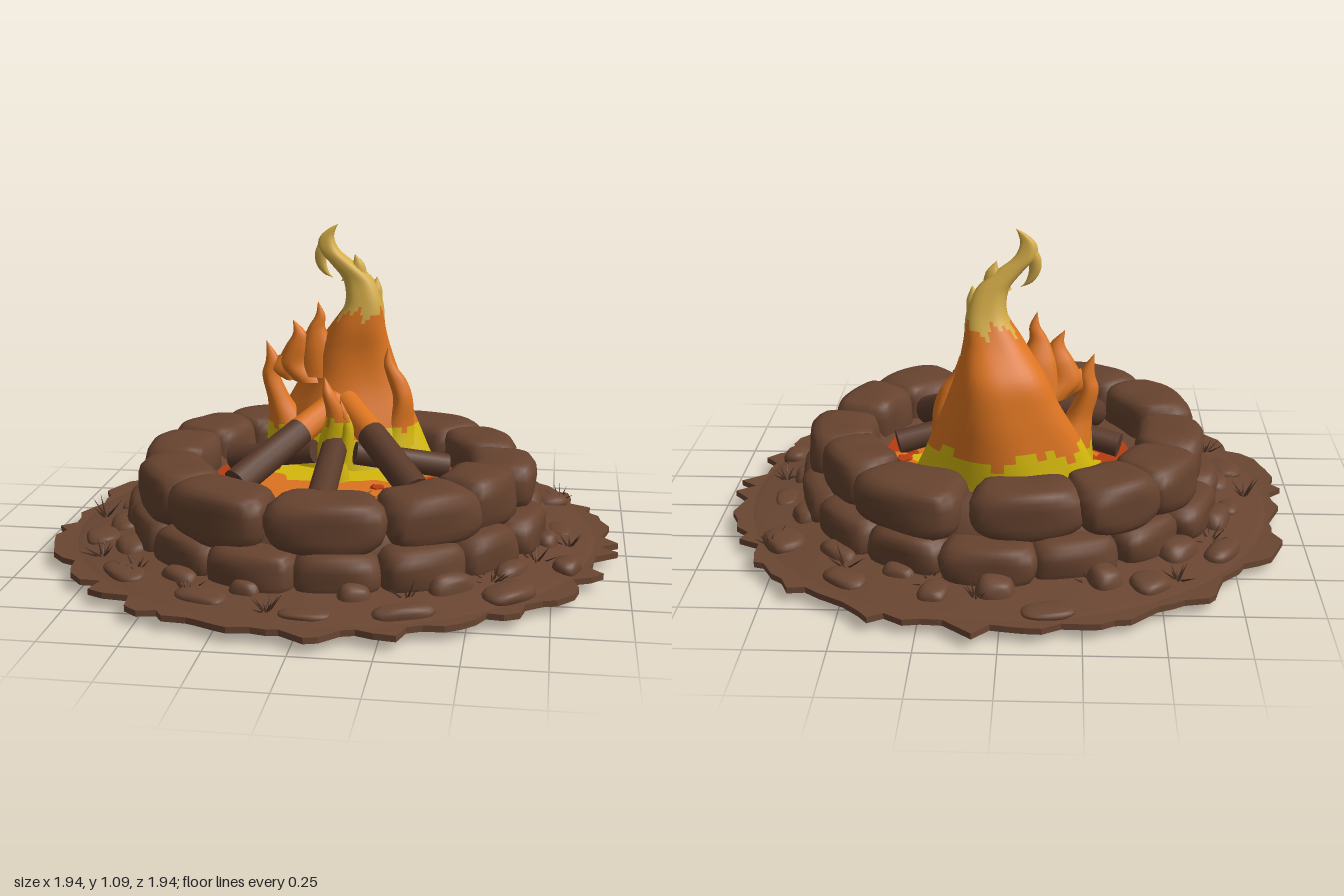
import * as THREE from 'three';
import { mergeVertices } from 'three/addons/utils/BufferGeometryUtils.js';

const mat = (name, color, side = THREE.FrontSide) => {
  const m = new THREE.MeshStandardMaterial({ color, side });
  m.name = name;
  return m;
};

export function createModel() {
  const model = new THREE.Group();
  const soil = mat('soil', 0x6a4632), stone = mat('stone', 0x67432f);
  const bark = mat('bark', 0x5a3a2a), grassMat = mat('dryGrass', 0x4a3022, THREE.DoubleSide);
  const red = mat('emberRed', 0xb83c10), orange = mat('flameOrange', 0xdc7420);
  const yellow = mat('flameYellow', 0xd4b80c), gold = mat('flameGold', 0xd4ac48);

  let seed = 7;
  const rnd = () => (seed = (seed * 16807) % 2147483647) / 2147483647;
  const vary = (mid, range) => mid + (rnd() * 2 - 1) * range;

  const add = (name, geo, material, parent = model) => {
    const mesh = new THREE.Mesh(geo, material);
    mesh.name = name;
    parent.add(mesh);
    return mesh;
  };
  const group = (name) => {
    const g = new THREE.Group();
    g.name = name;
    model.add(g);
    return g;
  };

  // Ragged round outline
  const ragged = (rx, ry, n, jag) => {
    const pts = [];
    for (let i = 0; i < n; i++) {
      const a = (i + vary(0, 0.3)) / n * Math.PI * 2, k = 1 + vary(0, jag);
      pts.push(new THREE.Vector2(Math.cos(a) * rx * k, Math.sin(a) * ry * k));
    }
    return new THREE.Shape(pts);
  };

  // Ground with torn edge, and a gentle rise towards the stones
  const ground = new THREE.ExtrudeGeometry(ragged(0.94, 0.94, 110, 0.04), { depth: 0.02, bevelEnabled: false });
  add('ground', ground.rotateX(-Math.PI / 2), soil).position.y = 0.003;
  const profile = [[0.91, 0.018], [0.86, 0.032], [0.76, 0.042], [0.66, 0.06], [0.5, 0.07]];
  add('groundRise', new THREE.LatheGeometry(profile.map(p => new THREE.Vector2(...p)), 48), soil);

  // Packed earth behind and between the stones
  const core = [[0.64, 0.02], [0.62, 0.15], [0.58, 0.25], [0.5, 0.26], [0.46, 0.2], [0, 0.19]];
  add('earthCore', new THREE.LatheGeometry(core.map(p => new THREE.Vector2(...p)), 48), soil);

  // Rounded block bent along an arc, with a lightly uneven surface
  const arcBlock = (angle, half, radius, depth, y, height, power = 4) => {
    let g = new THREE.BoxGeometry(2, 2, 2, 10, 6, 6);
    g.deleteAttribute('uv');
    g.deleteAttribute('normal');
    g = mergeVertices(g);
    const p = g.attributes.position, ph = rnd() * 20;
    for (let i = 0; i < p.count; i++) {
      let [x, py, z] = [p.getX(i), p.getY(i), p.getZ(i)];
      const n = (Math.abs(x) ** power + Math.abs(py) ** power + Math.abs(z) ** power) ** (1 / power);
      const k = (1 + 0.05 * Math.sin(3 * x + ph) * Math.cos(2.5 * py + 2 * z + ph)) / n;
      const a = angle + x * k * half, r = radius + z * k * depth;
      p.setXYZ(i, Math.sin(a) * r, y + py * k * height, Math.cos(a) * r);
    }
    g.computeVertexNormals();
    return g;
  };

  // Two courses of stones; angles run from the front towards +x
  const upper = group('upperStones');
  const spots = [5, 39, 65, 92, 118, 149, 188, 216, 238, 265, 299, 330];
  spots.forEach((deg, i) => {
    const prev = i ? spots[i - 1] : spots[spots.length - 1] - 360;
    const next = i < spots.length - 1 ? spots[i + 1] : spots[0] + 360;
    const half = THREE.MathUtils.degToRad((next - prev) / 4 + 0.8);
    add('upperStone', arcBlock(THREE.MathUtils.degToRad(deg), half, vary(0.56, 0.015), vary(0.115, 0.01),
      vary(0.232, 0.005), vary(0.09, 0.006)), stone, upper);
  });
  const lower = group('lowerStones');
  for (let i = 0; i < 15; i++) {
    const half = Math.PI / 15 * vary(1.03, 0.08);
    add('lowerStone', arcBlock((i + 0.35) / 15 * Math.PI * 2, half, vary(0.6, 0.015), 0.12,
      0.09, vary(0.078, 0.008)), stone, lower);
  }

  // Low clods around the foot of the ring
  const clods = group('soilClods');
  for (let i = 0; i < 30; i++) {
    const r = i % 2 ? vary(0.72, 0.02) : vary(0.81, 0.05);
    add('clod', arcBlock(vary(i, 0.3) / 30 * Math.PI * 2, vary(0.09, 0.03), r, vary(0.05, 0.015),
      0.035, i % 2 ? vary(0.05, 0.015) : vary(0.025, 0.01), 2.5), soil, clods);
  }

  // Tufts of dry grass
  const grass = group('grassTufts');
  for (let i = 0; i < 16; i++) {
    const a = vary(i, 0.35) / 16 * Math.PI * 2, r = vary(0.8, 0.09);
    const tuft = new THREE.Group();
    tuft.name = 'tuft';
    tuft.position.set(Math.sin(a) * r, 0.025, Math.cos(a) * r);
    grass.add(tuft);
    for (let j = 0; j < 8; j++) {
      const h = vary(0.075, 0.02);
      const blade = add('blade', new THREE.ConeGeometry(0.006, h, 3).translate(0, h / 2, 0), grassMat, tuft);
      blade.rotation.set(0, j / 8 * Math.PI * 2, vary(0.8, 0.4), 'YXZ');
    }
  }

  // Glowing bed, layered from red to yellow
  const bed = group('emberBed');
  [['redEmbers', 0.42, 0.42, -0.04, red, 0.03], ['orangeEmbers', 0.35, 0.33, -0.09, orange, 0.16],
    ['yellowEmbers', 0.31, 0.21, -0.15, yellow, 0.14]].forEach(([name, rx, rz, z, m, jag], i) => {
    const g = new THREE.ShapeGeometry(ragged(rx, rz, 40, jag)).rotateX(-Math.PI / 2);
    add(name, g, m, bed).position.set(0, 0.202 + i * 0.005, z);
  });
  for (let i = 0; i < 22; i++) {
    const a = vary(0, 1.9), r = vary(0.29, 0.09);
    const coal = add('coal', new THREE.DodecahedronGeometry(vary(0.028, 0.01)), i % 3 ? red : orange, bed);
    coal.position.set(Math.sin(a) * r, 0.205, Math.cos(a) * r - 0.04);
    coal.scale.y = 0.5;
  }

  // Logs leaning together; the upper part may glow
  const logs = group('logs');
  const stick = (name, a, b, r0, r1, m) => {
    const d = b.clone().sub(a);
    const log = add(name, new THREE.CylinderGeometry(r1, r0, d.length(), 12), m, logs);
    log.position.copy(a).addScaledVector(d, 0.5);
    log.quaternion.setFromUnitVectors(new THREE.Vector3(0, 1, 0), d.normalize());
  };
  const log = (from, to, r, glow = 1) => {
    const a = new THREE.Vector3(...from), b = new THREE.Vector3(...to), c = a.clone().lerp(b, glow);
    stick('log', a, c, r, r * 0.95, bark);
    if (glow < 1) stick('glowingLogEnd', c, b, r * 0.95, r * 0.85, orange);
  };
  for (const s of [-1, 1]) {
    log([s * 0.3, 0.25, 0.25], [s * 0.015, 0.45, -0.13], 0.053, 0.62);
    log([s * 0.38, 0.25, -0.06], [s * 0.07, 0.31, 0.03], 0.042);
  }
  log([0, 0.24, 0.37], [0, 0.33, 0.04], 0.048);

  // Flame lofted through rows of [y, centre x, centre z, radius x, radius z]; colour changes with height
  const fire = group('flames');
  const flame = (name, rows, steps, sides, yellowTop, orangeTop) => {
    const mid = new THREE.CatmullRomCurve3(rows.map(r => new THREE.Vector3(r[1], r[0], r[2])));
    const size = new THREE.CatmullRomCurve3(rows.map(r => new THREE.Vector3(r[3], r[4], 0)));
    const pos = [], faces = [[], [], []];
    for (let i = 0; i <= steps; i++) {
      const c = mid.getPoint(i / steps), s = size.getPoint(i / steps);
      for (let j = 0; j < sides; j++) {
        const a = j / sides * Math.PI * 2, k = 1 + 0.05 * Math.sin(4 * a + c.y * 6);
        pos.push(c.x + Math.sin(a) * Math.max(s.x, 0) * k, c.y, c.z + Math.cos(a) * Math.max(s.y, 0) * k);
        if (i === steps) continue;
        const y = c.y + 0.02 * Math.sin(5 * a) + 0.012 * Math.sin(11 * a);
        const p = i * sides + j, q = i * sides + (j + 1) % sides;
        faces[y < yellowTop ? 0 : y < orangeTop ? 1 : 2].push(p, q, q + sides, p, q + sides, p + sides);
      }
    }
    const g = new THREE.BufferGeometry();
    g.setAttribute('position', new THREE.Float32BufferAttribute(pos, 3));
    g.setIndex(faces.flat());
    let start = 0;
    faces.forEach((f, i) => {
      if (f.length) g.addGroup(start, f.length, i);
      start += f.length;
    });
    g.computeVertexNormals();
    add(name, g, [yellow, orange, gold], fire);
  };

  flame('mainFlame', [[0.19, 0, -0.27, 0.31, 0.19], [0.36, 0, -0.295, 0.24, 0.17], [0.5, 0.01, -0.315, 0.18, 0.148],
    [0.6, 0.015, -0.31, 0.145, 0.135], [0.7, 0.04, -0.275, 0.1, 0.1], [0.78, 0.062, -0.26, 0.07, 0.07],
    [0.86, 0.045, -0.255, 0.056, 0.045], [0.92, -0.01, -0.25, 0.045, 0.034], [0.97, -0.062, -0.25, 0.036, 0.024],
    [1.01, -0.07, -0.25, 0.026, 0.015], [1.04, -0.053, -0.25, 0.014, 0.008], [1.06, -0.03, -0.25, 0, 0]], 60, 40, 0.34, 0.74);
  flame('curledTip', [[0.868, -0.045, -0.25, 0, 0], [0.885, -0.072, -0.25, 0.012, 0.01], [0.92, -0.09, -0.25, 0.019, 0.014],
    [0.96, -0.09, -0.25, 0.022, 0.016], [1.0, -0.075, -0.25, 0.02, 0.012]], 16, 12, 0, 0);
  flame('upperBarb', [[0.76, 0.085, -0.26, 0.045, 0.04], [0.83, 0.1, -0.26, 0.027, 0.025], [0.875, 0.108, -0.26, 0, 0]], 12, 12, 0, 0.7);
  flame('middleBarb', [[0.86, 0.03, -0.25, 0.05, 0.03], [0.92, 0.042, -0.25, 0.022, 0.018], [0.955, 0.03, -0.25, 0, 0]], 12, 12, 0, 0);

  // Side tongues
  flame('leftOuterTongue', [[0.2, -0.18, -0.24, 0.11, 0.1], [0.34, -0.205, -0.24, 0.075, 0.07], [0.43, -0.24, -0.23, 0.042, 0.045],
    [0.52, -0.27, -0.23, 0.032, 0.035], [0.57, -0.263, -0.23, 0.026, 0.025], [0.64, -0.285, -0.23, 0, 0]], 28, 16, 0.33, 2);
  flame('leftMiddleTongue', [[0.5, -0.12, -0.25, 0.08, 0.07], [0.56, -0.185, -0.24, 0.06, 0.05], [0.62, -0.175, -0.235, 0.045, 0.04],
    [0.67, -0.165, -0.23, 0.025, 0.025], [0.72, -0.19, -0.23, 0, 0]], 24, 16, 0, 2);
  flame('leftInnerTongue', [[0.52, -0.08, -0.26, 0.1, 0.08], [0.62, -0.1, -0.25, 0.065, 0.055], [0.69, -0.105, -0.24, 0.032, 0.03],
    [0.735, -0.092, -0.24, 0.018, 0.018], [0.785, -0.1, -0.24, 0, 0]], 24, 16, 0, 2);
  flame('leftBridge', [[0.5, -0.2, -0.235, 0.02, 0.025], [0.54, -0.23, -0.23, 0.05, 0.03], [0.59, -0.22, -0.23, 0.02, 0.02]], 10, 12, 0, 2);
  flame('rightTongue', [[0.2, 0.16, -0.24, 0.11, 0.1], [0.34, 0.185, -0.24, 0.06, 0.06], [0.44, 0.205, -0.23, 0.036, 0.04],
    [0.51, 0.185, -0.23, 0.034, 0.03], [0.57, 0.155, -0.23, 0.02, 0.02], [0.63, 0.152, -0.23, 0, 0]], 28, 16, 0.33, 2);

  // Small flames licking up between the logs
  flame('frontTongue', [[0.2, 0, 0.02, 0.05, 0.04], [0.33, -0.015, 0.03, 0.045, 0.035], [0.44, 0.005, 0.04, 0.035, 0.03],
    [0.52, -0.02, 0.045, 0.022, 0.025], [0.575, -0.035, 0.035, 0, 0]], 24, 14, 0.42, 2);
  flame('frontSideTongue', [[0.28, 0.03, 0.04, 0.03, 0.025], [0.4, 0.045, 0.04, 0.02, 0.02], [0.46, 0.03, 0.045, 0.012, 0.012],
    [0.5, 0.02, 0.04, 0, 0]], 18, 12, 0.42, 2);

  return model;
}
